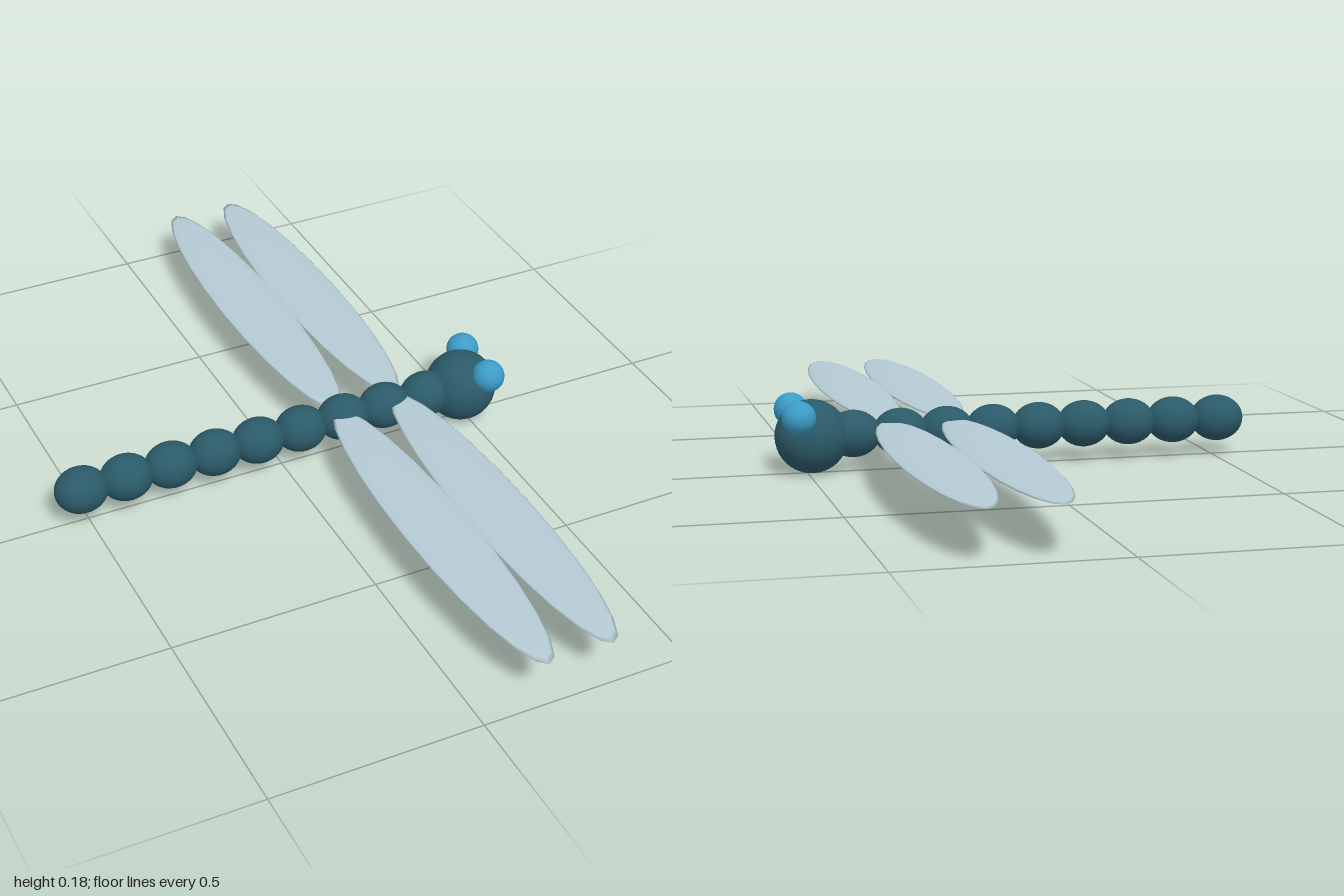
import * as THREE from 'three';

export function createModel() {
  const group = new THREE.Group();
  const mat = (name, color) => {
    const m = new THREE.MeshStandardMaterial({ color });
    m.name = name;
    return m;
  };
  const bodyTeal = mat('bodyTeal', 0x2b5a69);
  const eyeBlue = mat('eyeBlue', 0x3c9cc8);
  const wingPale = mat('wingPale', 0xb4cad3);

  // Stretched sphere placed by centre and radii
  const ellipsoid = (name, material, [x, y, z], [rx, ry, rz], w = 28, h = 18) => {
    const geometry = new THREE.SphereGeometry(1, w, h).scale(rx, ry, rz);
    const mesh = new THREE.Mesh(geometry, material);
    mesh.name = name;
    mesh.position.set(x, y, z);
    group.add(mesh);
  };

  // Beaded body, tail first
  for (let i = 0; i < 9; i++) {
    ellipsoid(`bodySegment${i + 1}`, bodyTeal, [-0.513 + i * 0.1129, 0.09, 0], [0.065, 0.056, 0.056]);
  }

  ellipsoid('head', bodyTeal, [0.489, 0.088, 0], [0.087, 0.087, 0.087], 32, 20);

  // Eyes and two pairs of flat wings, mirrored across the body
  for (const side of [1, -1]) {
    const label = side > 0 ? 'Front' : 'Back';
    ellipsoid(`eye${label}`, eyeBlue, [0.528, 0.143, side * 0.065], [0.04, 0.04, 0.04]);
    ellipsoid(`foreWing${label}`, wingPale, [0.306, 0.115, side * 0.5], [0.082, 0.01, 0.5], 24, 12);
    ellipsoid(`hindWing${label}`, wingPale, [0.15, 0.115, side * 0.5], [0.082, 0.01, 0.5], 24, 12);
  }

  return group;
}
